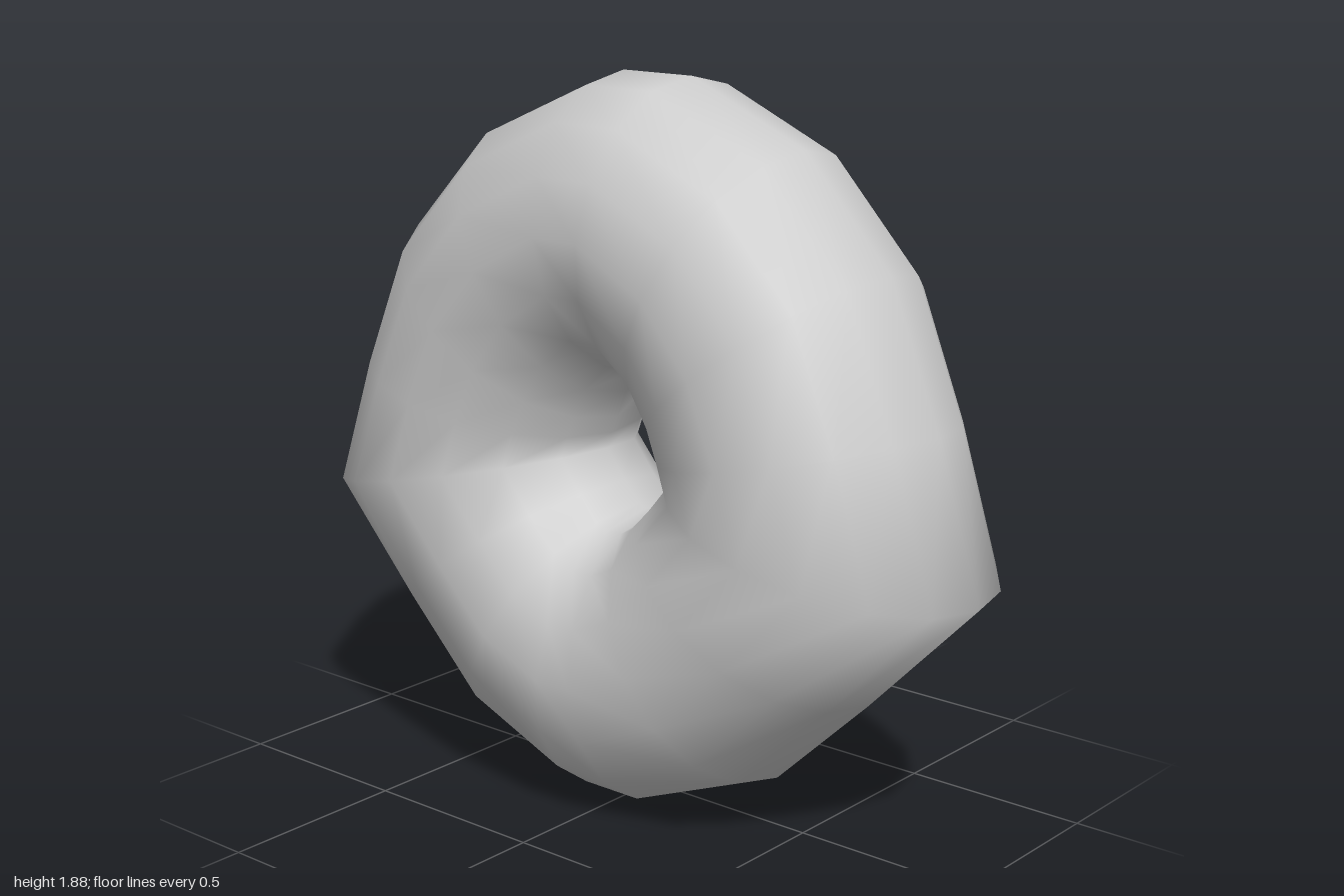
import * as THREE from 'three';

const SIDES = 16;   // points around the tube
const DEPTH = 0.377; // half thickness of the tube along z
const TILT = 0.0215; // slight backward lean
const MID_Y = 0.98;

// Tube sections of the +x half, top to bottom: outer x, y, inner x, y
const HALF = [
  [0.11, 1.88, 0.03, 1.127],
  [0.46, 1.73, 0.088, 1.06],
  [0.72, 1.46, 0.117, 0.99],
  [0.87, 1.10, 0.134, 0.945],
  [1.00, 0.71, 0.15, 0.90], // pointed corner
  [0.70, 0.40, 0.09, 0.825],
  [0.43, 0.14, 0.04, 0.772],
  [0.09, 0.003, 0.02, 0.76],
];

// Closed loop of tube sections, skinned with shared vertices for smooth normals
function ringGeometry(sections) {
  const positions = [], index = [];
  const n = sections.length;
  sections.forEach(([ox, oy, ix, iy], i) => {
    for (let j = 0; j < SIDES; j++) {
      const t = (j / SIDES) * Math.PI * 2;
      const k = (1 + Math.cos(t)) / 2;
      const x = ix + (ox - ix) * k;
      const y = iy + (oy - iy) * k;
      const z = DEPTH * Math.sin(t);
      positions.push(x, y + TILT * z, z - TILT * (y - MID_Y));

      const i2 = (i + 1) % n, j2 = (j + 1) % SIDES;
      const a = i * SIDES + j, b = i * SIDES + j2;
      const c = i2 * SIDES + j2, d = i2 * SIDES + j;
      index.push(a, b, c, a, c, d);
    }
  });
  const geometry = new THREE.BufferGeometry();
  geometry.setAttribute('position', new THREE.Float32BufferAttribute(positions, 3));
  geometry.setIndex(index);
  geometry.computeVertexNormals();
  return geometry;
}

export function createModel() {
  const group = new THREE.Group();
  group.name = 'ringModel';

  // Mirror the half profile to close the ring
  const mirrored = HALF.map(([ox, oy, ix, iy]) => [-ox, oy, -ix, iy]).reverse();
  const ring = new THREE.Mesh(
    ringGeometry([...HALF, ...mirrored]),
    new THREE.MeshStandardMaterial({ color: 0xcccccc })
  );
  ring.name = 'ring';
  group.add(ring);
  return group;
}
